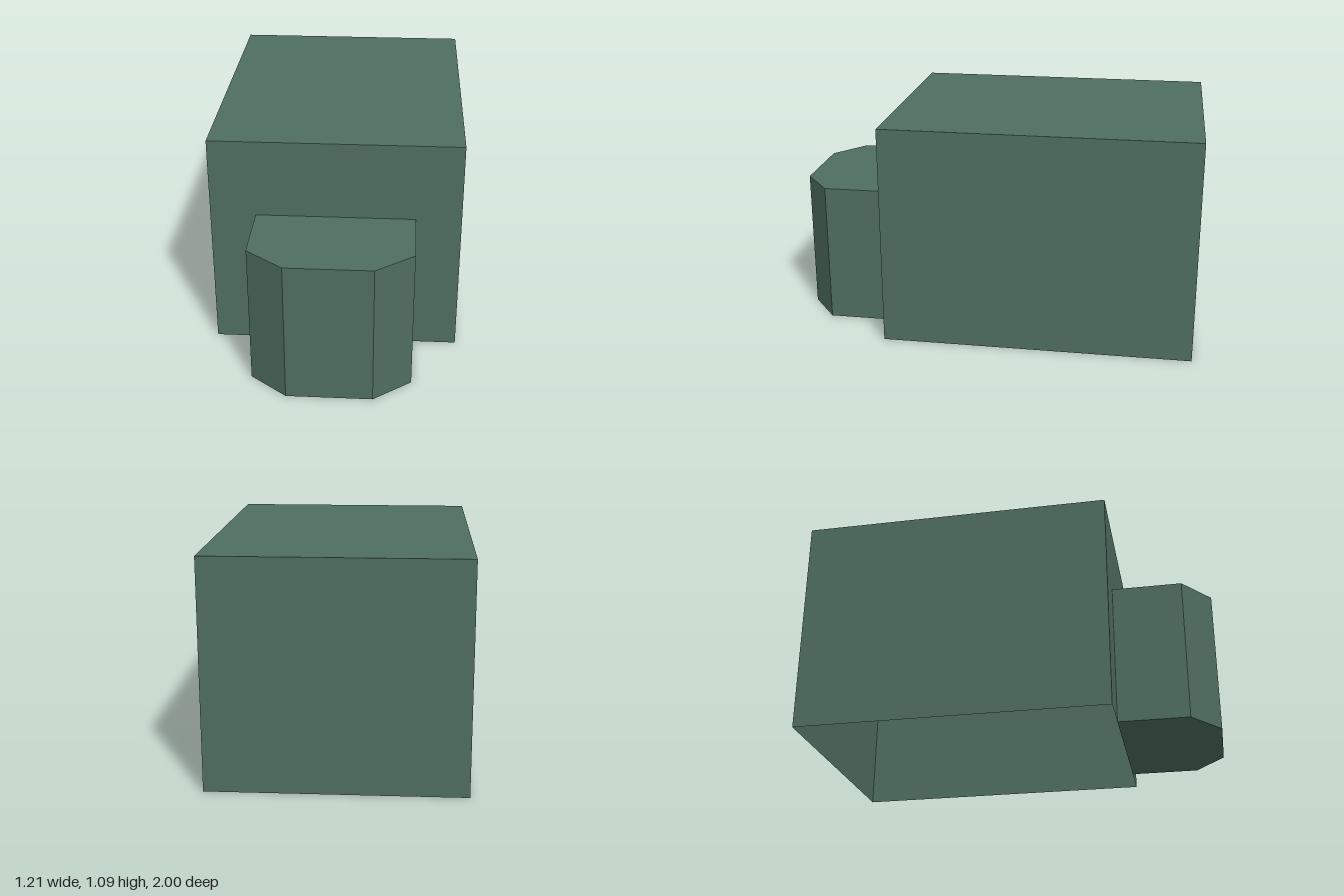
import * as THREE from 'three';

// Box standing on y = 0 with its underside left open
function openBottomBox(width, height, depth) {
  const box = new THREE.BoxGeometry(width, height, depth);
  const index = Array.from(box.index.array);
  index.splice(18, 6); // drop the downward face
  box.setIndex(index);
  box.clearGroups();
  return box.translate(0, height / 2, 0);
}

// Upright prism from a plan outline given as [x, z] points
function prism(plan, height) {
  const shape = new THREE.Shape(plan.map(([x, z]) => new THREE.Vector2(x, -z)));
  return new THREE.ExtrudeGeometry(shape, { depth: height, bevelEnabled: false })
    .rotateX(-Math.PI / 2);
}

export function createModel() {
  const group = new THREE.Group();
  group.name = 'building';

  const green = new THREE.MeshStandardMaterial({ color: 0x4f6f60, side: THREE.DoubleSide });
  green.name = 'mutedGreen';

  const add = (name, geometry) => {
    const mesh = new THREE.Mesh(geometry, green);
    mesh.name = name;
    group.add(mesh);
    return mesh;
  };

  // Main block: hollow shell, open underneath
  add('mainBlock', openBottomBox(1.21, 1.09, 1.52)).position.z = -0.24;

  // Front bay with chamfered corners
  const half = [[0.385, 0.52], [0.385, 0.86], [0.205, 1]];
  const mirrored = half.map(([x, z]) => [-x, z]).reverse();
  add('frontBay', prism([...half, ...mirrored], 0.705));

  return group;
}
